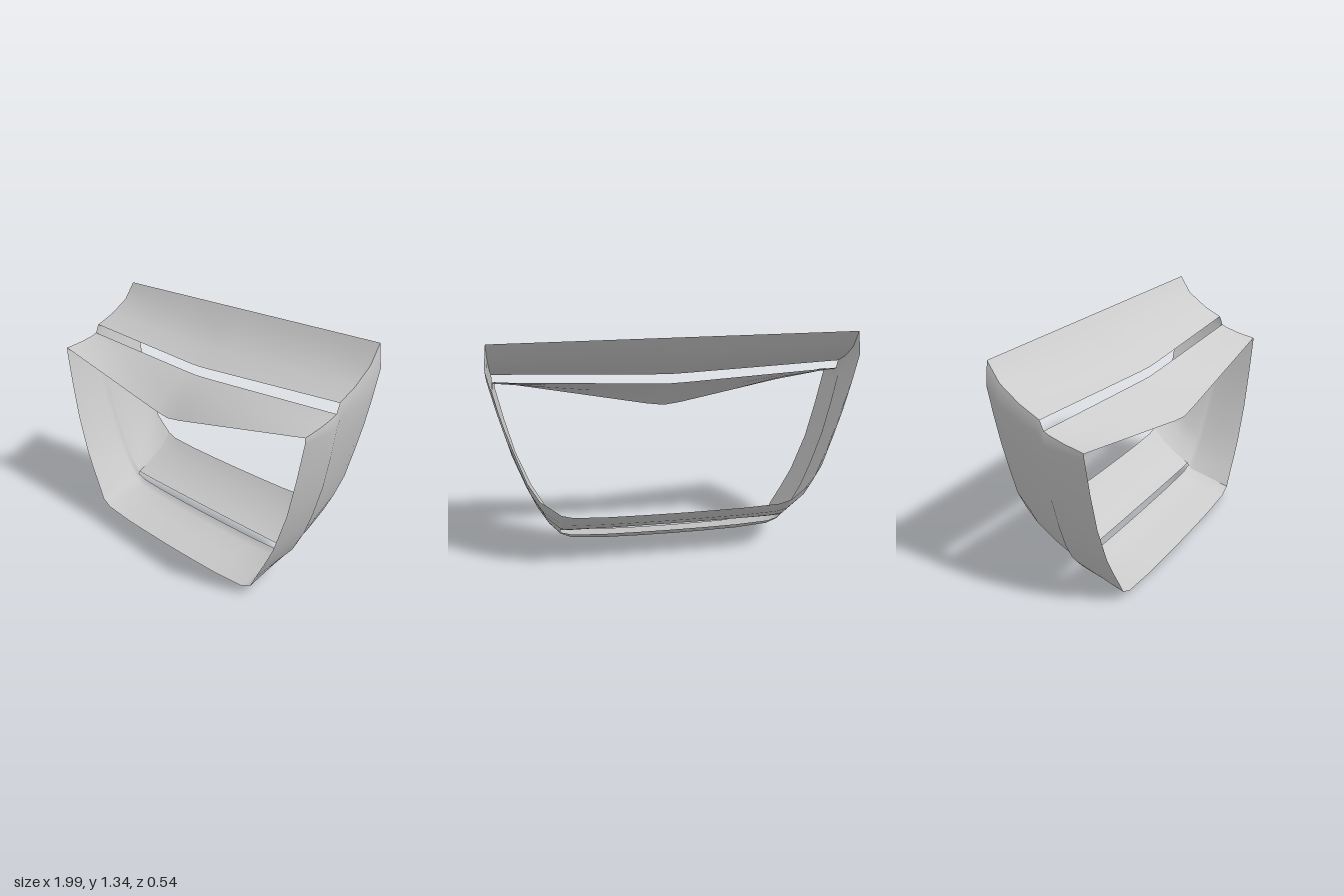
import * as THREE from 'three';

const lerp = THREE.MathUtils.lerp;
const material = new THREE.MeshStandardMaterial({ color: 0xcccccc, side: THREE.DoubleSide });

// Half outlines [x, y] of the shroud's side wall, from bottom to top
const FRONT = [[0.67, 0.06], [0.7, 0.12], [0.76, 0.225], [0.82, 0.34], [0.9, 0.56], [0.95, 0.77], [0.99, 0.97], [0.99, 1.0]];
const REAR = [[0.65, 0.38], [0.76, 0.47], [0.82, 0.58], [0.875, 0.75], [0.92, 0.9], [0.96, 1.06], [0.995, 1.22], [0.98, 1.345]];

// Stations from front to back: blend, bottom edge z and y, top edge z and y
const STATIONS = [
  [0, 0.27, 0.06, 0.27, 1.0],
  [0.2, 0.14, 0.098, 0.16, 1.022],
  [0.4, 0.01, 0.13, 0.08, 1.045],
  [0.44, -0.015, 0.15, 0.05, 1.06],
  [0.47, -0.02, 0.168, 0.03, 1.11],
  [0.6, -0.09, 0.21, -0.08, 1.165],
  [0.85, -0.2, 0.295, -0.19, 1.245],
  [1, -0.27, 0.38, -0.255, 1.345],
];

// Centre-line [z, y] of the bottom and top slats at the same stations
const BOTTOM_CENTRE = [[0.27, 0.003], [0.14, 0.04], [0.01, 0.078], [-0.018, 0.115], [-0.02, 0.16], [-0.09, 0.195], [-0.2, 0.268], [-0.268, 0.347]];
const TOP_CENTRE = [[0.27, 0.812], [0.18, 0.905], [0.1, 0.975], [0.05, 1.01], [0.05, 1.065], [-0.07, 1.14], [-0.18, 1.235], [-0.255, 1.345]];

// Rise from centre to end across a slat: [fraction of half width, fraction of rise]
const BOTTOM_RISE = [[0, 0], [0.3, 0.03], [0.6, 0.12], [0.9, 0.42], [1, 1]];
const TOP_RISE = [[0, 0], [0.1, 0.07], [0.4, 0.38], [0.7, 0.69], [0.97, 0.97], [1, 1]];

// Skin a grid of points given as rows
function loft(name, rows) {
  const n = rows[0].length;
  const index = [];
  for (let r = 0; r < rows.length - 1; r++) {
    for (let i = 0; i < n - 1; i++) {
      const a = r * n + i, b = a + n;
      index.push(a, a + 1, b, a + 1, b + 1, b);
    }
  }
  const geometry = new THREE.BufferGeometry();
  geometry.setAttribute('position', new THREE.Float32BufferAttribute(rows.flat(2), 3));
  geometry.setIndex(index);
  geometry.computeVertexNormals();
  const mesh = new THREE.Mesh(geometry, material);
  mesh.name = name;
  return mesh;
}

// Cross-section of the left side wall at one station
function wallSection([t, zBottom, yBottom, zTop, yTop]) {
  const height = (outline, i) => (outline[i][1] - outline[0][1]) / (outline[7][1] - outline[0][1]);
  return FRONT.map((p, i) => {
    const v = lerp(height(FRONT, i), height(REAR, i), t);
    return [lerp(p[0], REAR[i][0], t), lerp(yBottom, yTop, v), lerp(zBottom, zTop, v)];
  });
}

// Slat running between the two walls over a range of stations
function slat(name, walls, end, centre, rise, from, to) {
  const rows = [];
  for (let s = from; s <= to; s++) {
    const [x, y, z] = walls[s].at(end);
    const [cz, cy] = centre[s];
    const half = rise.map(([f, r]) => [f * x, lerp(cy, y, r), lerp(cz, z, r)]);
    const mirrored = half.slice(1).reverse().map(([px, py, pz]) => [-px, py, pz]);
    rows.push([...mirrored, ...half]);
  }
  return loft(name, rows);
}

export function createModel() {
  const group = new THREE.Group();
  group.name = 'grilleShroud';
  const walls = STATIONS.map(wallSection);

  // Side walls, the right one mirrored with its winding reversed
  group.add(loft('leftWall', walls));
  group.add(loft('rightWall', walls.map((row) => row.map(([x, y, z]) => [-x, y, z]).reverse())));

  // Upper and lower slats, split by a narrow slot
  group.add(slat('upperFrontSlat', walls, -1, TOP_CENTRE, TOP_RISE, 0, 3));
  group.add(slat('upperRearSlat', walls, -1, TOP_CENTRE, TOP_RISE, 4, 7));
  group.add(slat('lowerFrontSlat', walls, 0, BOTTOM_CENTRE, BOTTOM_RISE, 0, 3));
  group.add(slat('lowerRearSlat', walls, 0, BOTTOM_CENTRE, BOTTOM_RISE, 4, 7));
  return group;
}
